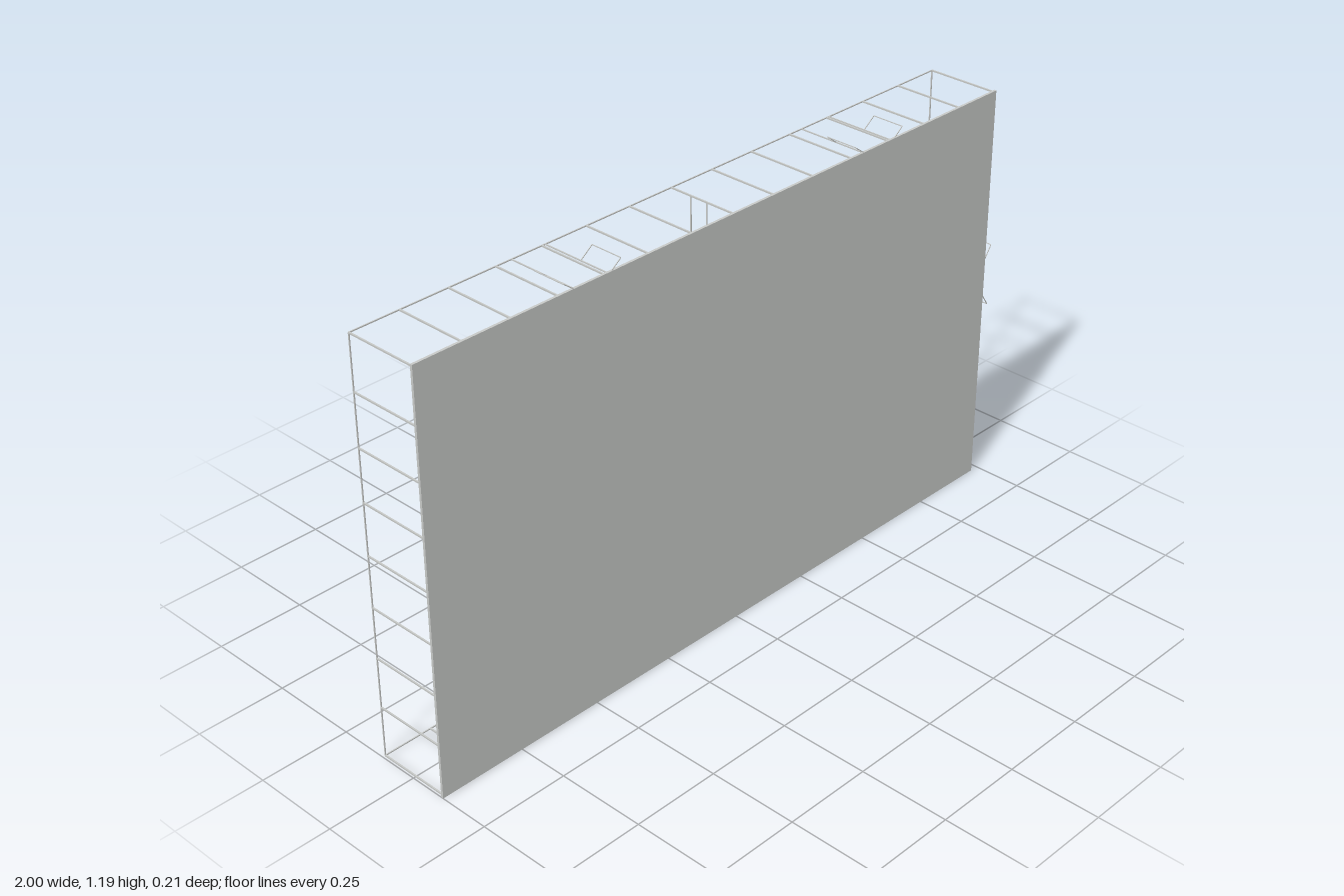
import * as THREE from 'three';

export function createModel() {
  const root = new THREE.Group();
  const grey = new THREE.MeshStandardMaterial({ color: 0xc8cac8, side: THREE.DoubleSide });
  grey.name = 'light grey';
  const L = -0.997, R = 0.972, MID = -0.0125;        // side walls and divider
  const F = 0.105, B = -0.105, BOT = 0.008, TOP = 1.16;
  const RAILS = [-0.497, 0.453];

  function add(name, geo, parent = root) {
    const m = new THREE.Mesh(geo, grey);
    m.name = name;
    parent.add(m);
    return m;
  }
  function box(name, w, h, d, x, y, z, parent) {
    const m = add(name, new THREE.BoxGeometry(w, h, d), parent);
    m.position.set(x, y, z);
    return m;
  }
  // Thin square bar between two points
  function bar(name, a, b, t = 0.004, parent = root) {
    const p = new THREE.Vector3(...a), q = new THREE.Vector3(...b);
    const m = add(name, new THREE.BoxGeometry(t, t, p.distanceTo(q)), parent);
    m.position.copy(p).add(q).multiplyScalar(0.5);
    m.lookAt(q);
    return m;
  }
  function loop(name, pts, t = 0.002) {
    const g = new THREE.Group();
    g.name = name;
    pts.forEach((p, i) => bar(name + 'Edge', p, pts[(i + 1) % pts.length], t, g));
    root.add(g);
  }

  // Large front panel
  box('frontPanel', 1.975, 1.165, 0.007, -0.0125, 0.5825, 0.1035);

  // Open rear frame and the evenly spaced cross bars
  loop('rearFrame', [[L, BOT, B], [R, BOT, B], [R, TOP, B], [L, TOP, B]], 0.003);
  for (let i = 0; i <= 14; i++) {
    const x = L + (R - L) * i / 14;
    for (const y of [BOT, TOP]) bar('depthBar', [x, y, F], [x, y, B]);
  }
  for (let i = 1; i < 8; i++) {
    const y = BOT + 0.1435 * i;
    for (const x of [L, R]) bar('sideBar', [x, y, F], [x, y, B]);
    bar('dividerBar', [MID, y, F], [MID, y, -0.04]);
  }
  bar('dividerPost', [MID, BOT, -0.04], [MID, TOP, -0.04], 0.003);

  // Hatch flaps as wire outlines: hinge and free edge in x, y
  function flap(hx, hy, ex, ey) {
    loop('hatchFlap', [[hx, hy, F], [ex, ey, F], [ex, ey, 0.0125], [hx, hy, 0.0125]]);
  }
  for (const x of [-0.476, 0.5065]) {
    for (const s of [-1, 1]) {
      const hx = x + s * 0.052;
      flap(hx, TOP, hx + s * 0.0365, TOP + 0.027);
      bar('hatchBar', [hx, TOP, F], [hx, TOP, B], 0.003);
    }
  }
  for (const [y, s] of [[0.567, -1], [0.668, 1]]) {
    flap(R, y, R + 0.027, y + s * 0.04);
    bar('hatchBar', [R, y, F], [R, y, B], 0.003);
  }
  for (const [y, s] of [[1.058, -1], [0.115, 1]]) {
    bar('dividerHatchBar', [MID, y, F], [MID, y, -0.04]);
    for (const d of [-0.05, 0.05]) flap(MID, y, MID + d, y + s * 0.038);
  }
  bar('dividerHatchPost', [MID, 1.058, 0.0125], [MID, TOP, 0.0125], 0.002);

  // Vertical rails with brackets, clamps and angled arms
  for (const x of RAILS) {
    bar('rail', [x, 0.185, 0.073], [x, 1.045, 0.073], 0.003);
    for (const y of [0.19, 0.36, 1.04]) box('railBracket', 0.008, 0.006, 0.03, x, y, 0.088);
    for (const [y, s] of [[0.7, -1], [0.54, 1]]) {
      box('clamp', 0.028, 0.022, 0.03, x, y, 0.088);
      const arm = box('clampArm', 0.022, 0.008, 0.055, x, y + s * 0.025, 0.055);
      arm.rotation.x = 0.25;
      box('clampTip', 0.026, 0.018, 0.014, x, y + s * 0.036 - (s < 0 ? 0.006 : 0.012), 0.032);
    }
  }
  loop('railLoop', [[-0.497, 0.38, F], [-0.497, 0.495, F], [-0.497, 0.495, 0.04], [-0.497, 0.38, 0.04]]);

  // Curved troughs near the floor, with end arms
  const curve = new THREE.CatmullRomCurve3([[0.025, 0.035], [0.05, 0.012], [0.09, -0.002], [0.13, -0.006]]
    .map(([y, z]) => new THREE.Vector3(0, y, z)));
  for (const x of RAILS) {
    const g = new THREE.Group();
    g.name = 'trough';
    root.add(g);
    const geo = new THREE.PlaneGeometry(0.228, 1, 1, 12), p = geo.attributes.position;
    for (let i = 0; i < p.count; i++) {
      const c = curve.getPoint(p.getY(i) + 0.5);
      p.setXYZ(i, p.getX(i) + x, c.y, c.z);
    }
    geo.computeVertexNormals();
    add('troughSheet', geo, g);
    box('troughBackRail', 0.228, 0.008, 0.012, x, 0.036, 0.092, g);
    for (const s of [-1, 1]) {
      const ex = x + s * 0.114;
      bar('troughUpperArm', [ex, 0.1, F], [ex, 0.1, 0], 0.004, g);
      bar('troughLowerArm', [ex, 0.033, F], [ex, 0.033, 0.025], 0.004, g);
    }
  }

  // Wavy mats on the side and on the floor
  function mat(name, w, h) {
    const geo = new THREE.PlaneGeometry(w, h, 4, 16), p = geo.attributes.position;
    for (let i = 0; i < p.count; i++) {
      const t = p.getY(i) / h * Math.PI * 2;
      p.setX(i, p.getX(i) * (0.95 - 0.07 * Math.cos(t * 2)));
      p.setZ(i, 0.003 * Math.sin(t));
    }
    geo.computeVertexNormals();
    return add(name, geo);
  }
  const side = mat('sideMat', 0.072, 0.18);
  side.rotation.y = Math.PI / 2;
  side.position.set(0.97, 0.38, -0.02);
  const floor = mat('floorMat', 0.075, 0.145);
  floor.rotation.set(-Math.PI / 2, 0, Math.PI / 2);
  floor.position.set(0.193, 0.012, -0.058);

  // Small blocks and studs on the back of the panel
  for (const [x, y] of [[0.115, 0.695], [0.225, 0.305], [-0.22, 0.2], [-0.835, 0.7], [-0.83, 0.54]])
    box('block', 0.022, 0.022, 0.028, x, y, 0.088);
  box('cornerPlate', 0.036, 0.055, 0.01, 0.86, 1.11, 0.097);
  bar('cornerHook', [0.86, 1.08, 0.1], [0.86, 1.078, 0.05], 0.004);
  bar('endLever', [-0.985, 1.1, 0.1], [-0.965, 1.05, 0.09], 0.006);
  for (const [x, y] of [[0.44, 0.64], [0.79, 0.28], [0.58, 0.49], [-0.28, 0.93], [-0.35, 0.43], [-0.4, 0.74], [-0.8, 0.83]])
    box('stud', 0.006, 0.006, 0.006, x, y, 0.098);
  return root;
}
